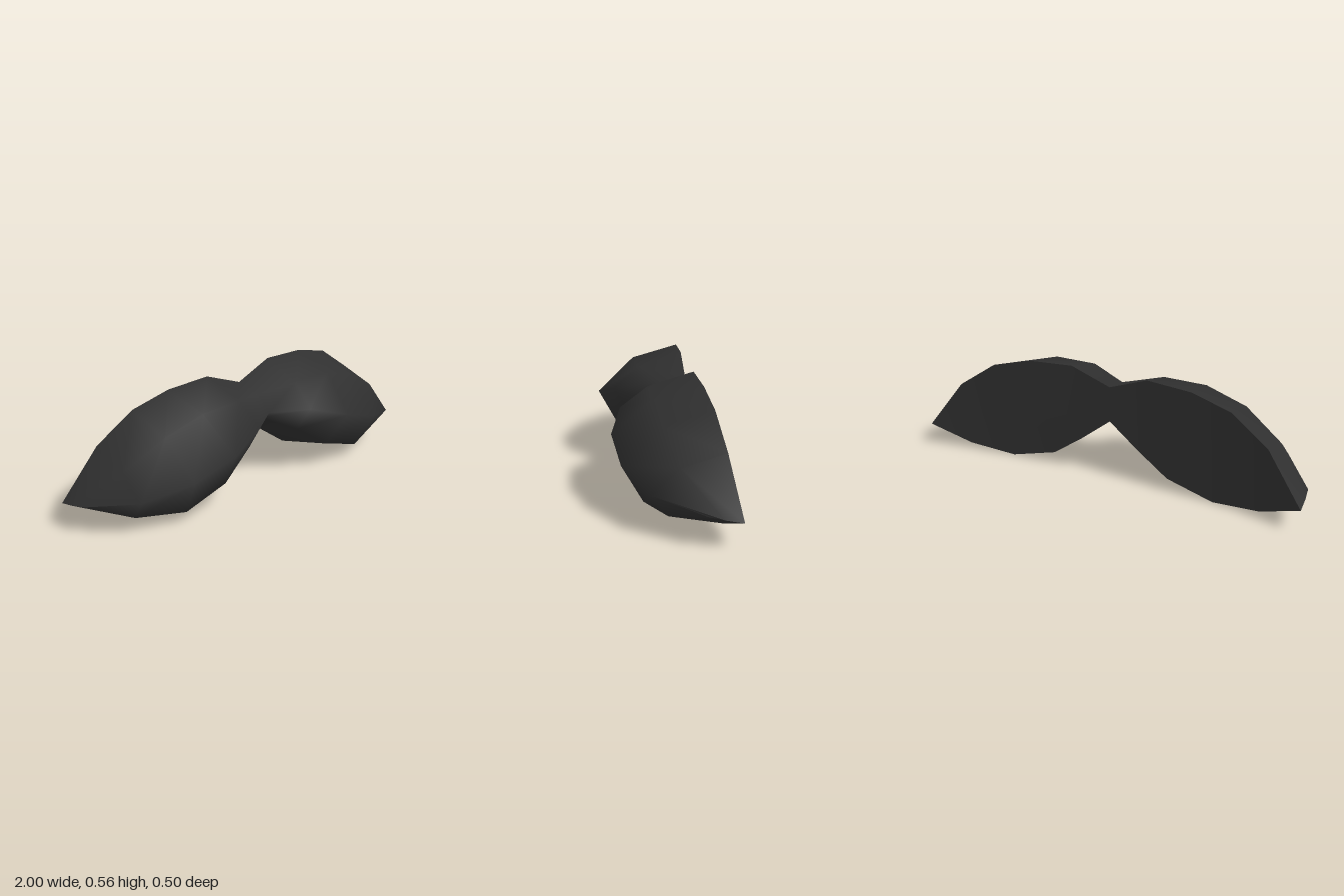
import * as THREE from 'three';

// Half cross-sections from the middle to the tip; each runs from the top back
// edge over the upper, front and lower ridges to the bottom back edge.
const SECTIONS = [
  [[0, 0.48, -0.155], [0, 0.455, -0.02], [0, 0.38, 0.065], [0, 0.335, 0], [0, 0.3, -0.155]],
  [[0.2, 0.557, -0.163], [0.19, 0.49, 0.055], [0.17, 0.385, 0.185], [0.16, 0.26, 0.1], [0.15, 0.18, -0.158]],
  [[0.43, 0.545, -0.173], [0.41, 0.487, 0.06], [0.375, 0.32, 0.245], [0.34, 0.135, 0.13], [0.31, 0.065, -0.162]],
  [[0.63, 0.492, -0.188], [0.62, 0.425, 0.045], [0.6, 0.245, 0.222], [0.57, 0.06, 0.12], [0.55, 0, -0.168]],
  [[0.82, 0.36, -0.21], [0.82, 0.3, -0.01], [0.82, 0.185, 0.115], [0.8, 0.08, 0.04], [0.79, 0.03, -0.2]],
  [[1, 0.115, -0.25], [0.995, 0.13, -0.17], [0.985, 0.145, -0.1], [0.995, 0.13, -0.17], [1, 0.115, -0.25]],
];

// Skin a grid of rows, with faces turned to the front or to the back
function skin(rows, towardBack) {
  const n = rows[0].length, index = [];
  for (let i = 0; i < rows.length - 1; i++) {
    for (let j = 0; j < n - 1; j++) {
      const a = i * n + j, b = a + n, c = a + 1, d = b + 1;
      if (towardBack) index.push(a, b, c, b, d, c);
      else index.push(a, c, b, b, c, d);
    }
  }
  const geometry = new THREE.BufferGeometry();
  geometry.setAttribute('position', new THREE.Float32BufferAttribute(rows.flat(2), 3));
  geometry.setIndex(index);
  geometry.computeVertexNormals();
  return geometry;
}

export function createModel() {
  const group = new THREE.Group();
  group.name = 'moustache';
  const hair = new THREE.MeshStandardMaterial({ color: 0x303030 });
  hair.name = 'charcoal hair';

  // Mirror the half sections to run from the right tip to the left tip
  const right = SECTIONS.slice(1).reverse().map(s => s.map(([x, y, z]) => [-x, y, z]));
  const rows = [...right, ...SECTIONS];

  // Smooth rounded front
  const front = new THREE.Mesh(skin(rows, false), hair);
  front.name = 'hairFront';

  // Flat back, joined to the front with a sharp rim
  const back = new THREE.Mesh(skin(rows.map(r => [r[0], r[4]]), true), hair);
  back.name = 'hairBack';

  group.add(front, back);
  return group;
}
